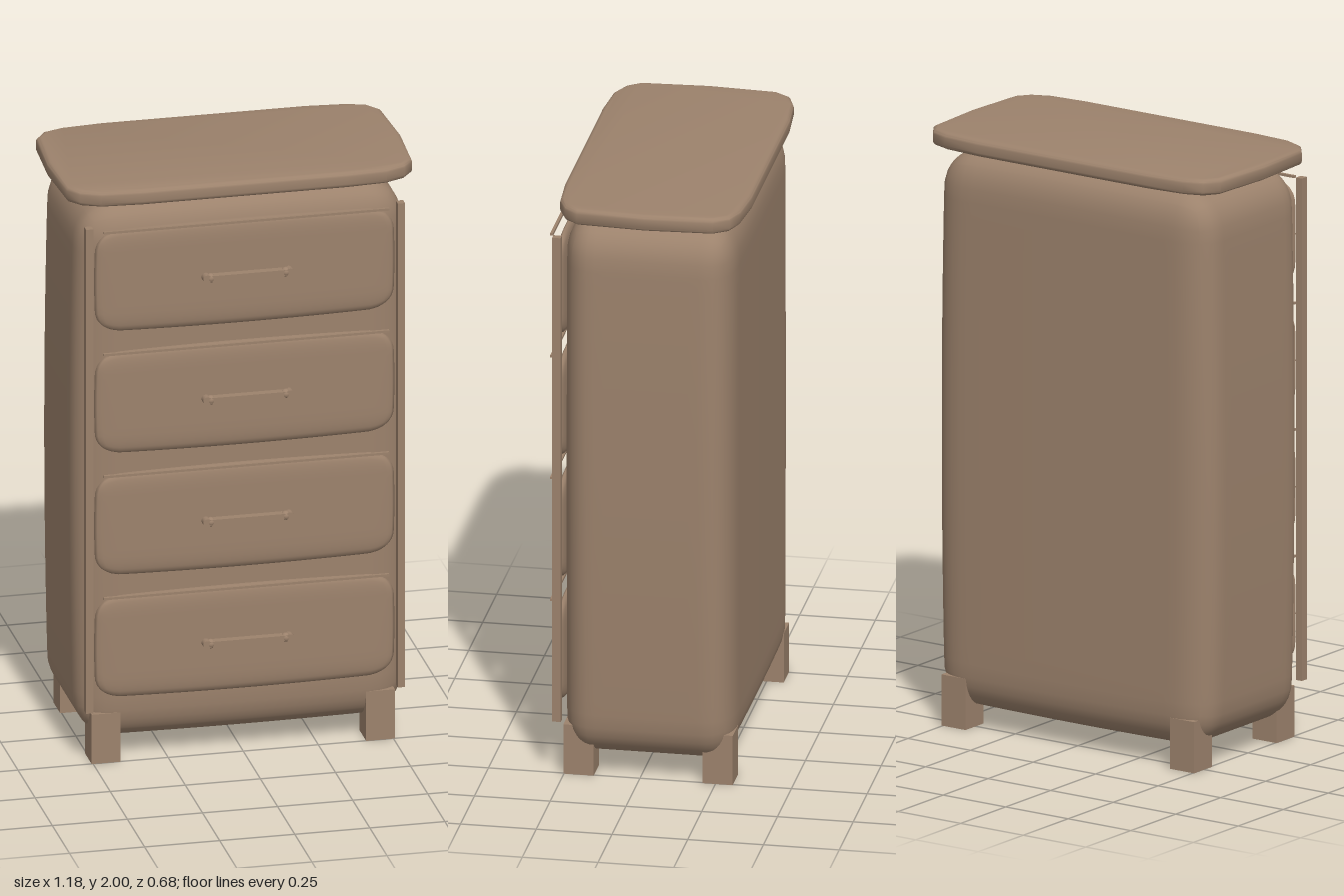
import * as THREE from 'three';
import { mergeVertices, toCreasedNormals } from 'three/addons/utils/BufferGeometryUtils.js';

const wood = new THREE.MeshStandardMaterial({ color: 0x9c826c });
wood.name = 'brownWood';

// Pillow-like box: elliptical edge radii, with sides that swell towards the middle
function softBox(size, radii, swell, segs) {
  let geo = new THREE.BoxGeometry(2, 2, 2, ...segs);
  geo.deleteAttribute('normal');
  geo.deleteAttribute('uv');
  geo = mergeVertices(geo);
  const pos = geo.attributes.position;
  const half = size.map((s) => s / 2);
  const dir = new THREE.Vector3();
  for (let i = 0; i < pos.count; i++) {
    const p = [0, 1, 2].map((k) => half[k] * Math.sin(pos.getComponent(i, k) * Math.PI / 2));
    const inner = p.map((v, k) => THREE.MathUtils.clamp(v, radii[k] - half[k], half[k] - radii[k]));
    dir.set(...p.map((v, k) => (v - inner[k]) / radii[k])).normalize();
    const q = inner.map((v, k) => v + dir.getComponent(k) * radii[k]);
    const u = q.map((v, k) => (v / half[k]) ** 2);
    pos.setXYZ(i, q[0] * (1 - swell[0] * u[1]), q[1] * (1 - swell[1] * u[0]), q[2] * (1 - swell[2] * u[0]));
  }
  geo.computeVertexNormals();
  return geo;
}

export function createModel() {
  const model = new THREE.Group();
  model.name = 'chestOfDrawers';

  const add = (name, geo, x, y, z, parent = model) => {
    const mesh = new THREE.Mesh(geo, wood);
    mesh.name = name;
    mesh.position.set(x, y, z);
    parent.add(mesh);
    return mesh;
  };

  // Rounded cabinet body
  add('body', softBox([1.11, 1.87, 0.565], [0.13, 0.13, 0.095], [0.025, 0.006, 0.01], [28, 32, 24]), 0, 1, -0.0275);

  // Top board with chamfered corners and a softened rim
  const half = [[0.34, -0.278], [0.475, -0.268], [0.54, -0.24], [0.575, -0.195], [0.588, 0.03],
    [0.575, 0.255], [0.54, 0.305], [0.475, 0.328], [0.34, 0.34]];
  const outline = [...half, ...half.map(([x, y]) => [-x, y]).reverse()];
  const topGeo = new THREE.ExtrudeGeometry(new THREE.Shape(outline.map((p) => new THREE.Vector2(...p))), {
    depth: 0.025, bevelThickness: 0.015, bevelSize: 0.018, bevelOffset: -0.018, bevelSegments: 4,
  });
  topGeo.rotateX(-Math.PI / 2);
  add('topBoard', toCreasedNormals(topGeo, 0.7), 0, 1.96, 0);

  // Four drawers, each with a shadow strip above and a bar handle
  const drawerGeo = softBox([1, 0.365, 0.034], [0.085, 0.07, 0.017], [0.012, 0.045, 0.1], [28, 18, 6]);
  const stripGeo = new THREE.BoxGeometry(0.95, 0.008, 0.01);
  const barGeo = new THREE.BoxGeometry(0.27, 0.02, 0.026);
  const endGeo = new THREE.CylinderGeometry(0.014, 0.014, 0.027, 16).rotateX(Math.PI / 2);
  const knobGeo = new THREE.SphereGeometry(0.016, 16, 12);
  for (let i = 0; i < 4; i++) {
    const y = 0.411 + i * 0.4257;
    const drawer = new THREE.Group();
    drawer.name = 'drawer' + (i + 1);
    model.add(drawer);
    add('drawerFront', drawerGeo, 0, y, 0.265, drawer);
    add('drawerStrip', stripGeo, 0, y + 0.181, 0.296, drawer);
    add('handleBar', barGeo, 0, y + 0.003, 0.32, drawer);
    for (const s of [-1, 1]) {
      add('handleEnd', endGeo, s * 0.138, y + 0.003, 0.32, drawer);
      add('handleKnob', knobGeo, s * 0.125, y + 0.003, 0.32, drawer);
    }
  }

  // Slim front rails and square feet
  const railGeo = new THREE.BoxGeometry(0.024, 1.69, 0.028);
  const legGeo = new THREE.BoxGeometry(0.096, 0.172, 0.1);
  for (const s of [-1, 1]) {
    const side = s > 0 ? 'left' : 'right';
    add(side + 'Rail', railGeo, s * 0.519, 1.035, 0.27);
    add(side + 'FrontLeg', legGeo, s * 0.457, 0.086, 0.202);
    add(side + 'BackLeg', legGeo, s * 0.457, 0.086, -0.257);
  }
  return model;
}
